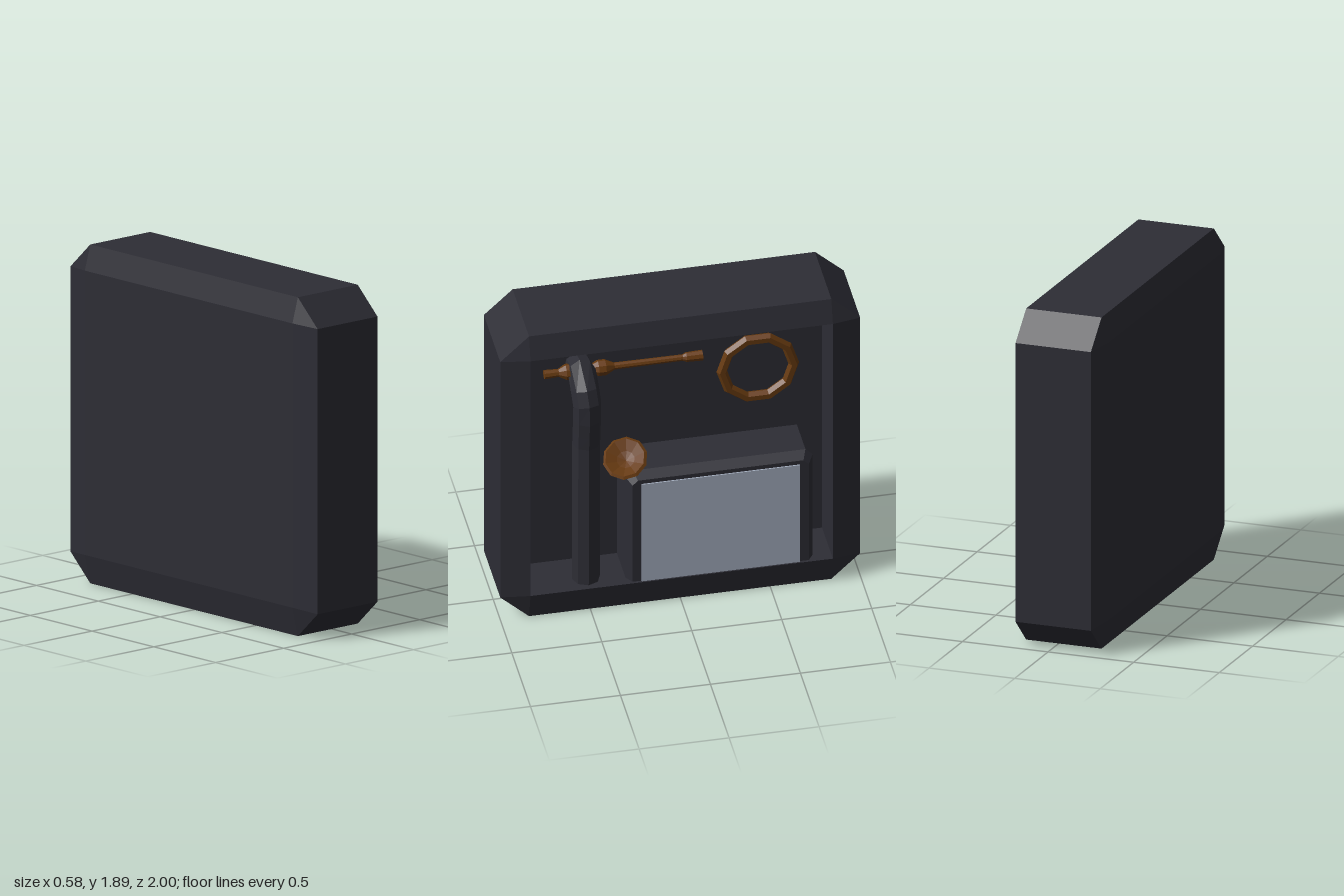
import * as THREE from 'three';

const material = (name, color, extra = {}) => {
  const m = new THREE.MeshStandardMaterial({ color, flatShading: true, ...extra });
  m.name = name;
  return m;
};

// Eight-point loop in the z-y plane, anticlockwise seen from +x; c is the corner cut
function loop(x, z0, z1, y0, y1, cz = 0, cy = cz) {
  return [
    [x, y0, z1 - cz], [x, y0, z0 + cz], [x, y0 + cy, z0], [x, y1 - cy, z0],
    [x, y1, z0 + cz], [x, y1, z1 - cz], [x, y1 - cy, z1], [x, y0 + cy, z1],
  ];
}

// Skin successive loops and close both ends
function loft(loops) {
  const pos = [];
  const tri = (a, b, c) => pos.push(...a, ...b, ...c);
  for (let k = 0; k < loops.length - 1; k++) {
    const A = loops[k], B = loops[k + 1];
    for (let i = 0; i < 8; i++) {
      const j = (i + 1) % 8;
      tri(A[i], A[j], B[j]);
      tri(A[i], B[j], B[i]);
    }
  }
  const first = loops[0], last = loops[loops.length - 1];
  for (let i = 1; i < 7; i++) {
    tri(first[0], first[i + 1], first[i]);
    tri(last[0], last[i], last[i + 1]);
  }
  const g = new THREE.BufferGeometry();
  g.setAttribute('position', new THREE.Float32BufferAttribute(pos, 3));
  g.computeVertexNormals();
  return g;
}

export function createModel() {
  const group = new THREE.Group();
  const dark = material('charcoal', 0x2d2d35);
  const brown = material('brown', 0x673a10, { side: THREE.DoubleSide });
  const pale = material('pale blue grey', 0xa4aebf);

  const add = (name, geometry, mat) => {
    const mesh = new THREE.Mesh(geometry, mat);
    mesh.name = name;
    group.add(mesh);
    return mesh;
  };
  const lathe = (pts, sides) => new THREE.LatheGeometry(pts.map(p => new THREE.Vector2(...p)), sides);

  // Bevelled case with a recess opening towards +x
  const rim = x => loop(x, -0.84, 0.84, 0.17, 1.76);
  const body = x => loop(x, -1, 1, 0.005, 1.9, 0.16, 0.15);
  const floorX = -0.06;
  add('case', loft([rim(-0.29), body(-0.25), body(0.19), rim(0.23), rim(floorX)]), dark);

  // Bevelled block with a pale panel on its face
  add('panelBlock', loft([
    loop(floorX, -0.74, 0.3, 0.12, 0.89, 0.04),
    loop(0.17, -0.74, 0.3, 0.12, 0.89, 0.04),
    loop(0.215, -0.71, 0.27, 0.14, 0.85, 0.03),
  ]), dark);
  const panel = add('panel', new THREE.BoxGeometry(0.008, 0.67, 0.88), pale);
  panel.position.set(0.218, 0.49, -0.22);

  // Upright pole, bent forward and then back at the top
  const path = new THREE.CurvePath();
  const bends = [[0.12, 0.15, 0.51], [0.13, 1.1, 0.51], [0.165, 1.36, 0.51], [0.1, 1.54, 0.525], [0, 1.52, 0.53]]
    .map(p => new THREE.Vector3(...p));
  for (let i = 0; i < bends.length - 1; i++) path.add(new THREE.LineCurve3(bends[i], bends[i + 1]));
  add('pole', new THREE.TubeGeometry(path, 16, 0.078, 8), dark);

  // Slim handled rod lying behind the pole
  const rod = add('rod', lathe([
    [0, -0.15], [0.03, -0.15], [0.027, -0.06], [0.018, -0.04], [0.02, 0.34], [0.045, 0.39],
    [0.045, 0.43], [0.025, 0.47], [0.025, 0.55], [0.045, 0.59], [0.045, 0.61], [0.022, 0.65],
    [0.026, 0.73], [0, 0.73],
  ], 8), brown);
  rod.rotation.x = Math.PI / 2;
  rod.position.set(0.06, 1.53, 0);

  // Faceted ring
  const ring = add('ring', new THREE.TorusGeometry(0.2, 0.03, 6, 10), brown);
  ring.rotation.y = Math.PI / 2;
  ring.position.set(0.05, 1.395, -0.46);

  // Small tilted cup with a shallow hollow
  const cup = add('cup', lathe([
    [0, -0.12], [0.045, -0.12], [0.085, -0.05], [0.125, 0], [0.11, 0.012], [0.05, -0.02], [0, -0.04],
  ], 10), brown);
  cup.quaternion.setFromUnitVectors(
    new THREE.Vector3(0, 1, 0), new THREE.Vector3(0.5, 0.8, 0.25).normalize());
  cup.position.set(0.185, 0.99, 0.305);

  return group;
}
